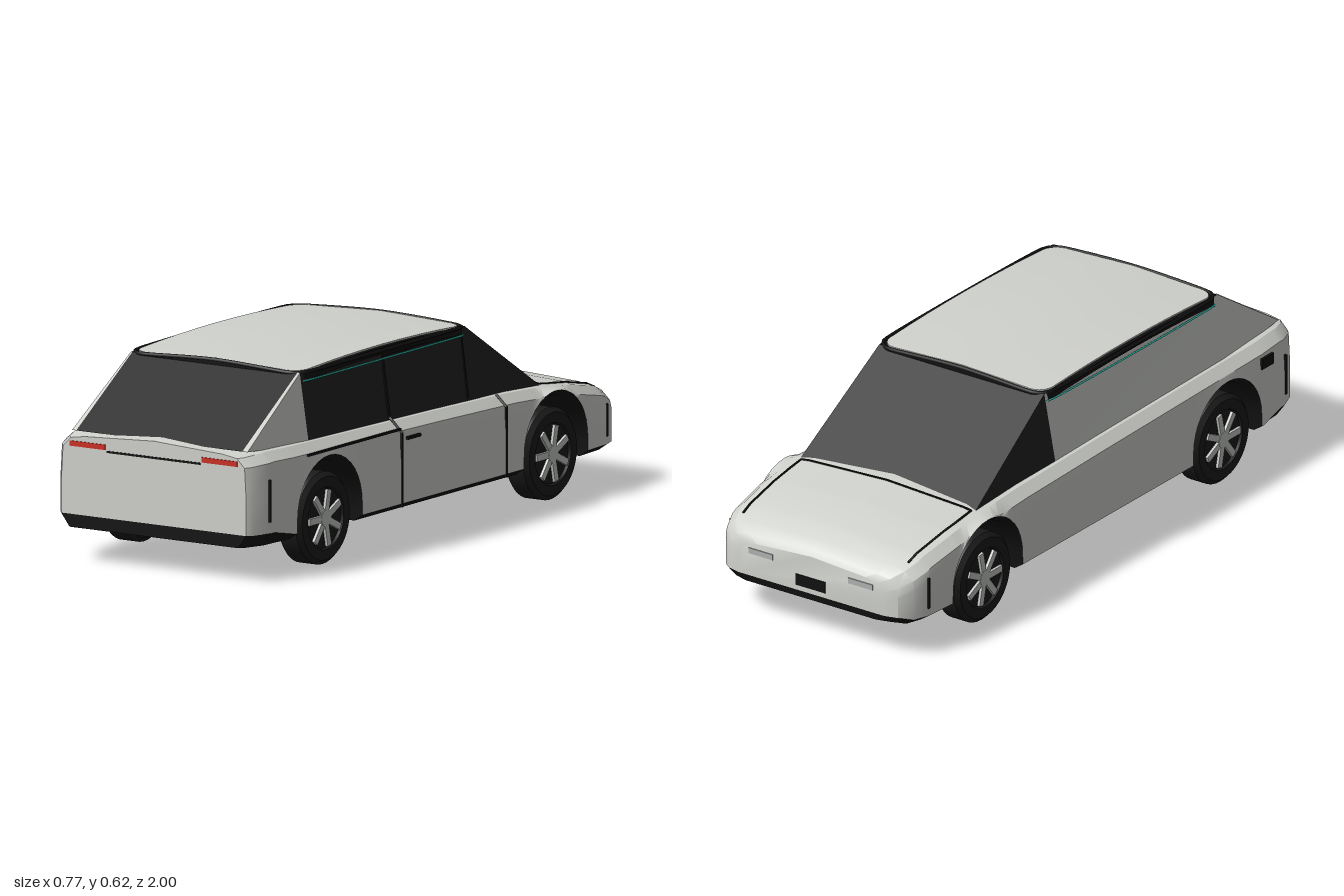
import * as THREE from 'three';
import { toCreasedNormals } from 'three/addons/utils/BufferGeometryUtils.js';

const mat = (name, color, side = THREE.DoubleSide) => {
  const m = new THREE.MeshStandardMaterial({ color, side });
  m.name = name;
  return m;
};
const V = (x, y, z) => new THREE.Vector3(x, y, z);

// piecewise linear lookup in [[z, value], ...]
function lookup(table, z) {
  for (let i = 1; i < table.length; i++) {
    const [a, va] = table[i - 1], [b, vb] = table[i];
    if (z <= b) return va + (vb - va) * Math.max(0, (z - a) / (b - a));
  }
  return table[table.length - 1][1];
}

// skin over rows of points (rows run towards +z), both ends capped
function loft(rows, crease = 0.5) {
  const n = rows[0].length, index = [];
  for (let i = 0; i < rows.length - 1; i++)
    for (let j = 0; j < n - 1; j++) {
      const a = i * n + j, d = a + n;
      index.push(a, a + 1, d, a + 1, d + 1, d);
    }
  const last = (rows.length - 1) * n;
  for (let j = 1; j < n - 1; j++) index.push(0, j + 1, j, last, last + j, last + j + 1);
  const g = new THREE.BufferGeometry().setFromPoints(rows.flat());
  g.setIndex(index);
  return toCreasedNormals(g, crease);
}

const HALF_WIDTH = [[-0.997, 0.27], [-0.985, 0.315], [-0.95, 0.35], [-0.9, 0.367], [-0.75, 0.378],
  [-0.4, 0.38], [0.8, 0.382], [0.92, 0.373], [0.98, 0.35], [0.997, 0.335]];
const SHOULDER = [[-0.997, 0.245], [-0.985, 0.263], [-0.95, 0.285], [-0.88, 0.312], [-0.75, 0.337],
  [-0.6, 0.356], [-0.4, 0.368], [0, 0.378], [0.9, 0.396], [0.997, 0.387]];
const AXLES = [-0.61, 0.615], ARCH = 0.175, AXLE_Y = 0.143;
const width = z => lookup(HALF_WIDTH, z), shoulder = z => lookup(SHOULDER, z);

function floorY(z) {
  for (const c of AXLES) {
    const d = Math.abs(z - c);
    if (d <= ARCH + 1e-6) return AXLE_Y + Math.sqrt(Math.max(0, ARCH * ARCH - d * d));
  }
  return z < -0.95 ? 0.115 : 0.105;
}

// half outline of the body, from the floor centre up to the crown
function halfSection(z) {
  const w = width(z), h = shoulder(z), b = floorY(z), s = b + (z > 0.85 ? 0.04 : 0.02);
  return [[0, b], [w - 0.03, b], [w, s], [w, Math.max(s, Math.min(0.25, h - 0.06))],
    [w - 0.006, Math.max(s, h - 0.035)], [w * 0.9, h - 0.008], [w * 0.75, h], [0, h + 0.013]]
    .map(([x, y]) => V(x, y, z));
}
const flip = p => V(-p.x, p.y, p.z);

// roof crown height
const roofY = (x, z) => 0.617 - 0.04 * Math.abs(x) - 0.07 * (z - 0.2) ** 2;

function roofSlab(hw, z0, z1, lift, thick) {
  const r = 0.05, rows = [], add = (z, w) => {
    const top = [1, 0.5, 0, -0.5, -1].map(k => V(k * w, roofY(k * w, z) + lift, z));
    rows.push([top[0].clone().setY(top[0].y - thick), ...top, top[4].clone().setY(top[4].y - thick)]);
  };
  for (let i = 0; i <= 5; i++) {
    const t = i / 5 * Math.PI / 2;
    add(z0 + r * (1 - Math.cos(t)), hw - r + r * Math.sin(t));
  }
  for (let i = 1; i < 8; i++) add(z0 + r + (z1 - z0 - 2 * r) * i / 8, hw);
  for (let i = 5; i >= 0; i--) {
    const t = i / 5 * Math.PI / 2;
    add(z1 - r * (1 - Math.cos(t)), hw - r + r * Math.sin(t));
  }
  return loft(rows, 0.4);
}

// thin tube following the rounded edge of the roof
function roofLoop(hw, z0, z1, lift, radius) {
  const r = 0.05, pts = [];
  const corners = [[1, 1, 0], [-1, 1, 1], [-1, 0, 2], [1, 0, 3]];
  for (const [sx, end, q] of corners)
    for (let i = 0; i <= 4; i++) {
      const t = (q + i / 4) * Math.PI / 2;
      const x = sx * (hw - r) + r * Math.cos(t), z = (end ? z1 - r : z0 + r) + r * Math.sin(t);
      pts.push(V(x, roofY(x, z) + lift, z));
      if (i === 4 && q % 2 === 0) pts.push(V(0, roofY(0, z) + lift, z));
    }
  const path = new THREE.CatmullRomCurve3(pts, true, 'centripetal');
  return new THREE.TubeGeometry(path, 120, radius, 6, true);
}

export function createModel() {
  const car = new THREE.Group();
  car.name = 'car';
  const paint = mat('body paint', 0xd0d2cd), glass = mat('dark glass', 0x222222);
  const black = mat('black trim', 0x111111), rubber = mat('tire rubber', 0x1b1b1b);
  const teal = mat('teal accent', 0x2fc4b2), red = mat('tail light red', 0xcc3024);
  const silver = mat('wheel silver', 0xc6c9c5), lamp = mat('headlight grey', 0xaeb2af);

  const add = (name, geo, m, parent = car) => {
    const mesh = new THREE.Mesh(geo, m);
    mesh.name = name;
    parent.add(mesh);
    return mesh;
  };
  const box = (name, m, w, h, d, x, y, z) =>
    add(name, new THREE.BoxGeometry(w, h, d), m).position.set(x, y, z);
  const plate = (name, m, pts) => {
    const g = new THREE.BufferGeometry().setFromPoints(pts);
    g.setIndex(pts.slice(2).flatMap((_, i) => [0, i + 1, i + 2]));
    g.computeVertexNormals();
    add(name, g, m);
  };
  const line = (name, pts, t = 0.007, m = black) => {
    for (let i = 1; i < pts.length; i++) {
      const a = V(...pts[i - 1]), b = V(...pts[i]), dir = b.clone().sub(a);
      const mesh = add(name, new THREE.BoxGeometry(t, t, dir.length()), m);
      mesh.position.copy(a).add(b).multiplyScalar(0.5);
      mesh.quaternion.setFromUnitVectors(V(0, 0, 1), dir.normalize());
    }
  };

  // body shell and underbody, with wheel arches cut right through
  const stations = [...HALF_WIDTH, ...SHOULDER].map(p => p[0]);
  for (const c of AXLES) {
    stations.push(c - ARCH - 0.001, c + ARCH + 0.001);
    for (let i = 0; i <= 18; i++) stations.push(c - ARCH * Math.cos(i / 18 * Math.PI));
  }
  const zs = [...new Set(stations)].sort((a, b) => a - b);
  const halves = zs.map(halfSection);
  add('bodyShell', loft(halves.map(h => [...h.slice(2), ...h.slice(2, 7).reverse().map(flip)])), paint);
  add('underbody', loft(halves.map(h => [flip(h[2]), flip(h[1]), h[0], h[1], h[2]])), black);

  // cabin: windscreen, rear window and sides
  const A = s => V(s * 0.325, 0.35, -0.6), B = s => V(s * 0.306, 0.59, -0.222);
  const C = s => V(s * 0.306, 0.588, 0.665), D = s => V(s * 0.318, 0.395, 0.965);
  const E = s => V(s * 0.332, 0.36, -0.2), F = s => V(s * 0.335, 0.375, 0.66);
  plate('windscreen', glass, [A(1), A(-1), B(-1), B(1)]);
  plate('rearWindow', glass, [D(-1), D(1), C(1), C(-1)]);
  for (const s of [1, -1]) {
    plate('frontQuarterGlass', glass, [A(s), B(s), E(s)]);
    plate(s > 0 ? 'sideGlass' : 'cabinSide', s > 0 ? glass : paint, [E(s), B(s), C(s), F(s)]);
    plate('rearPillar', paint, [F(s), C(s), D(s)]);
    plate('rearPillarEdge', paint, [D(s), C(s), V(s * 0.298, 0.591, 0.666), V(s * 0.3, 0.397, 0.967)]);
  }

  // roof panel with dark rim and accent line
  add('roofRim', roofSlab(0.314, -0.234, 0.674, -0.005, 0.022), black);
  add('roofPanel', roofSlab(0.302, -0.222, 0.662, 0, 0.01), paint);
  add('roofRail', roofLoop(0.312, -0.23, 0.67, -0.004, 0.006), black);
  add('accentLine', roofLoop(0.315, -0.236, 0.676, -0.029, 0.003), teal);

  // door seams and handle on the left side
  line('rearDoorSeam', [[0.381, 0.115, 0.225], [0.381, 0.34, 0.225], [0.345, 0.376, 0.225], [0.334, 0.385, 0.225], [0.308, 0.572, 0.225]]);
  line('frontDoorSeam', [[0.379, 0.115, -0.34], [0.379, 0.33, -0.34], [0.342, 0.364, -0.34]]);
  line('windowFrame', [[0.334, 0.375, -0.2], [0.308, 0.57, -0.2], [0.309, 0.57, 0.225]], 0.005);
  line('sideCrease', [[0.378, 0.354, 0.23], [0.379, 0.354, 0.73]]);
  line('doorHandle', [[0.382, 0.322, 0.13], [0.382, 0.322, 0.2]], 0.009);
  box('chargePort', black, 0.008, 0.035, 0.06, -0.38, 0.33, 0.82);

  // bumper seams and hood outline on both sides
  for (const s of [1, -1]) {
    line('rearBumperSeam', [[s * 0.373, 0.18, 0.925], [s * 0.373, 0.31, 0.925]]);
    line('frontBumperSeam', [[s * 0.367, 0.15, -0.9], [s * 0.367, 0.25, -0.9]]);
    line('hoodSideSeam', [-0.61, -0.68, -0.75, -0.82, -0.88, -0.92].map(z =>
      [s * (0.315 - 0.04 * Math.max(0, -0.7 - z)), shoulder(z) - 0.004, z]), 0.006);
    box('tailLight', red, 0.128, 0.016, 0.006, s * 0.239, 0.362, 0.997);
    box('headlight', lamp, 0.09, 0.018, 0.006, s * 0.185, 0.218, -0.997);
  }
  const hy = shoulder(-0.61);
  line('hoodRearSeam', [[-0.315, hy - 0.004, -0.61], [-0.285, hy, -0.61], [0, hy + 0.013, -0.61],
    [0.285, hy, -0.61], [0.315, hy - 0.004, -0.61]], 0.006);
  box('tailSeam', black, 0.34, 0.006, 0.006, 0, 0.349, 0.997);
  box('frontIntake', black, 0.11, 0.036, 0.006, 0, 0.17, -0.997);

  // wheels: tire of revolution, rim disc and seven spokes on the outer face
  const tire = new THREE.LatheGeometry([[0, -0.04], [0.088, -0.04], [0.092, -0.044], [0.128, -0.044], [0.142, -0.03],
    [0.142, 0.03], [0.128, 0.044], [0.096, 0.044], [0.092, 0.036], [0, 0.036]]
    .map(p => new THREE.Vector2(...p)), 40);
  const tireGeo = toCreasedNormals(tire, 0.5);
  for (const z of AXLES) for (const s of [1, -1]) {
    const wheel = new THREE.Group();
    wheel.name = 'wheel';
    wheel.position.set(s * 0.323, 0.142, z);
    wheel.rotation.z = -s * Math.PI / 2;
    car.add(wheel);
    add('tire', tireGeo, rubber, wheel);
    add('hub', new THREE.CylinderGeometry(0.026, 0.026, 0.012, 20), silver, wheel).position.y = 0.04;
    for (let i = 0; i < 7; i++) {
      const arm = new THREE.Group(), spoke = new THREE.BoxGeometry(0.021, 0.01, 0.078);
      arm.name = 'spokeArm';
      arm.rotation.y = i / 7 * Math.PI * 2;
      wheel.add(arm);
      add('spoke', spoke, silver, arm).position.set(0, 0.04, 0.049);
    }
  }
  return car;
}
